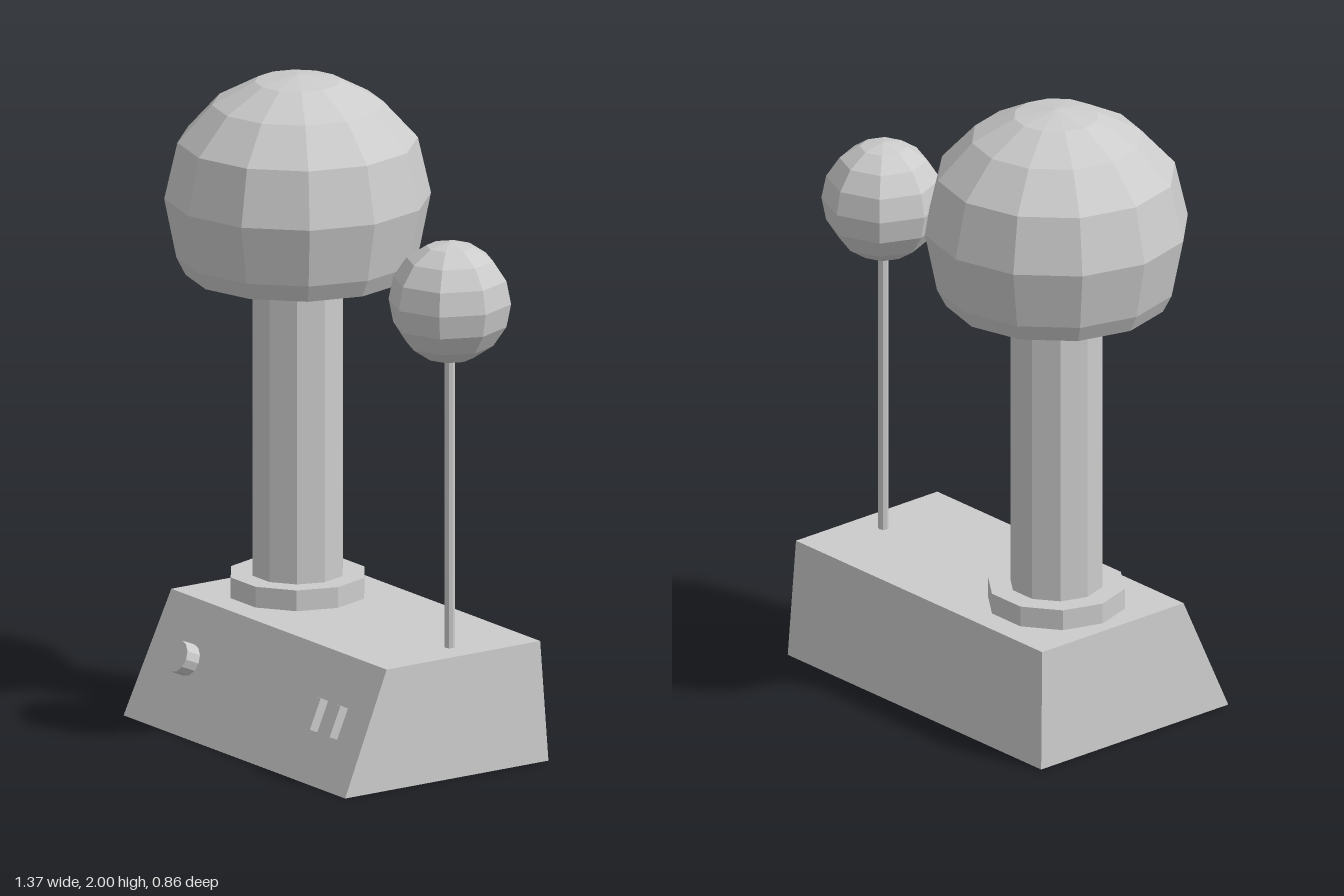
import * as THREE from 'three';

const material = new THREE.MeshStandardMaterial({ color: 0xcccccc, flatShading: true });
const openMaterial = new THREE.MeshStandardMaterial({ color: 0xcccccc, flatShading: true, side: THREE.DoubleSide });

function part(name, geometry, x, y, z, parent, mat = material) {
  const mesh = new THREE.Mesh(geometry, mat);
  mesh.name = name;
  mesh.position.set(x, y, z);
  parent.add(mesh);
  return mesh;
}

// Upright cylinder with a corner on the x axis
const column = (r, h, sides) => new THREE.CylinderGeometry(r, r, h, sides).rotateY(Math.PI / 2);

// Box whose top is drawn in, most strongly at the sloping front
function baseGeometry() {
  const g = new THREE.BoxGeometry(1, 1, 1);
  const p = g.attributes.position;
  for (let i = 0; i < p.count; i++) {
    const top = p.getY(i) > 0;
    const right = p.getX(i) > 0;
    const front = p.getZ(i) > 0;
    const x = top ? (right ? 0.593 : -0.537) : (right ? 0.608 : -0.555);
    const z = top ? (front ? 0.263 : -0.305) : (front ? 0.427 : -0.325);
    p.setXYZ(i, x, top ? 0.375 : 0, z);
  }
  g.computeVertexNormals();
  return g;
}

export function createModel() {
  const model = new THREE.Group();
  model.name = 'staticGenerator';

  part('base', baseGeometry(), 0, 0, 0, model);

  // Column, collar and large dome
  const cx = -0.28, cz = -0.023;
  part('collar', column(0.212, 0.065, 10), cx, 0.4075, cz, model);
  part('column', column(0.143, 1.09, 10), cx, 0.92, cz, model);

  // Dome profile from the recessed underside, round the lip and up to the crown
  const profile = [
    [0, 1.435], [0.31, 1.435], [0.34, 1.38], [0.368, 1.435], [0.405, 1.62],
    [0.365, 1.795], [0.26, 1.91], [0.13, 1.98], [0, 2],
  ].map(([r, y]) => new THREE.Vector2(r, y));
  part('dome', new THREE.LatheGeometry(profile, 12), cx, 0, cz, model, openMaterial);

  // Discharge ball on its thin rod
  const bx = 0.492, bz = -0.042;
  part('rod', column(0.016, 0.94, 8), bx, 0.84, bz, model);
  part('dischargeBall', new THREE.SphereGeometry(0.188, 8, 8), bx, 1.458, bz, model);

  // Controls, built in a frame whose z axis points out of the sloping front
  const panel = new THREE.Group();
  panel.name = 'controlPanel';
  panel.position.set(0, 0.2, 0.34);
  panel.rotation.x = -Math.atan2(0.164, 0.375);
  model.add(panel);
  part('knob', new THREE.CylinderGeometry(0.05, 0.05, 0.06, 12).rotateX(Math.PI / 2), -0.34, 0.008, 0.02, panel);
  for (const x of [0.353, 0.457]) {
    part('switch', new THREE.BoxGeometry(0.038, 0.1, 0.04), x, -0.01, 0.01, panel);
  }
  return model;
}
